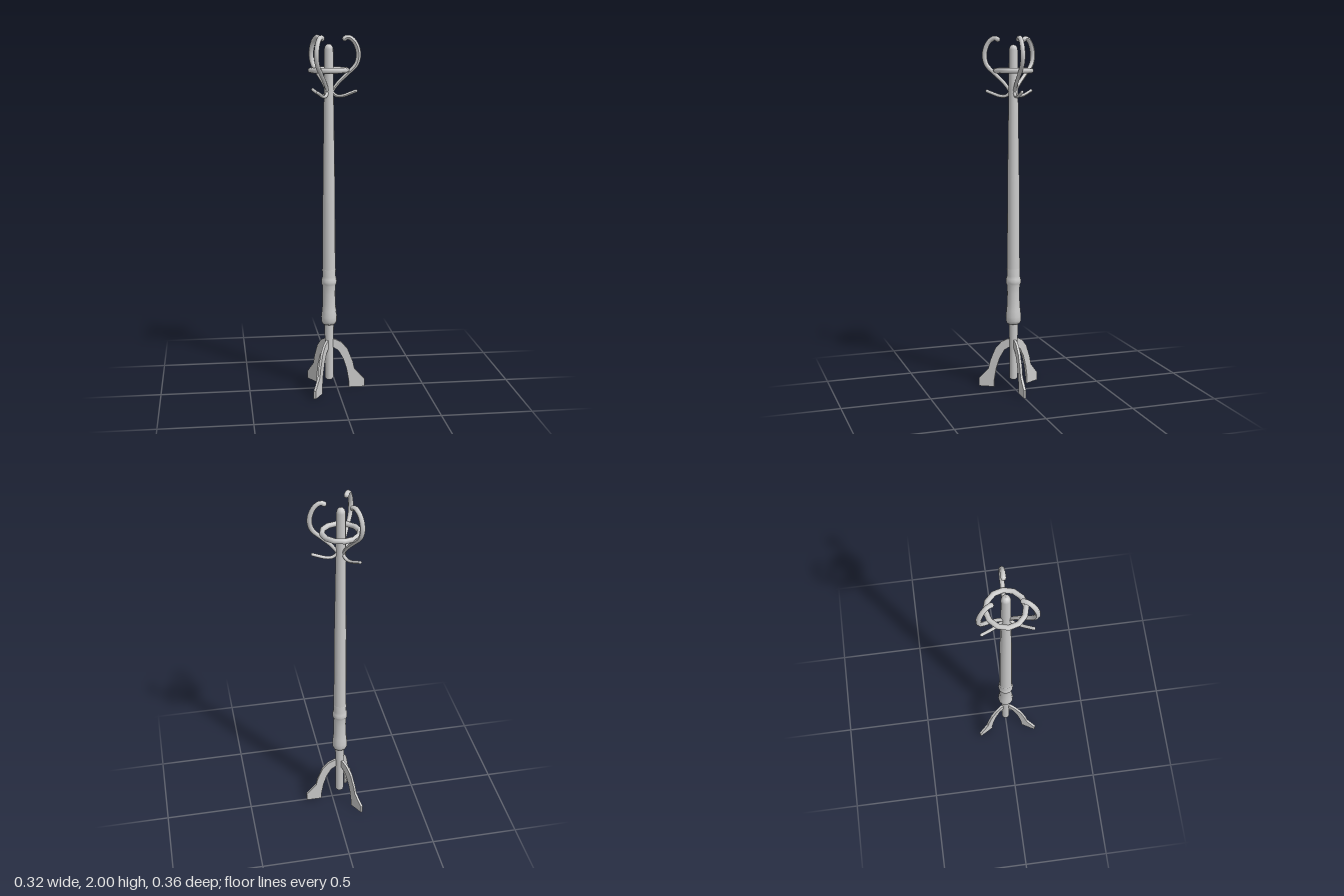
import * as THREE from 'three';

const material = new THREE.MeshStandardMaterial({ color: 0xcccccc, side: THREE.DoubleSide });

function addMesh(parent, name, geometry) {
  const mesh = new THREE.Mesh(geometry, material);
  mesh.name = name;
  parent.add(mesh);
  return mesh;
}

const vectors = (points) => points.map(([x, y]) => new THREE.Vector2(x, y));
const lathe = (points) => new THREE.LatheGeometry(vectors(points), 12);

// Tube in the xy plane through [x, y, radius] points, with rounded ends
function taperedTube(points, segments, sides = 8) {
  const curve = new THREE.CatmullRomCurve3(points.map(([x, y]) => new THREE.Vector3(x, y, 0)));
  const geometry = new THREE.TubeGeometry(curve, segments, 1, sides);
  const pos = geometry.attributes.position;
  const centre = new THREE.Vector3(), v = new THREE.Vector3();
  for (let i = 0; i <= segments; i++) {
    curve.getPointAt(i / segments, centre);
    const t = curve.getUtoTmapping(i / segments) * (points.length - 1);
    const k = Math.min(Math.floor(t), points.length - 2);
    const radius = THREE.MathUtils.lerp(points[k][2], points[k + 1][2], t - k);
    for (let j = 0; j <= sides; j++) {
      const n = i * (sides + 1) + j;
      v.fromBufferAttribute(pos, n).sub(centre).multiplyScalar(radius).add(centre);
      pos.setXYZ(n, v.x, v.y, v.z);
    }
  }
  geometry.computeVertexNormals();
  return geometry;
}

function addEndBall(parent, name, [x, y, radius]) {
  addMesh(parent, name, new THREE.SphereGeometry(radius, 8, 6)).position.set(x, y, 0);
}

export function createModel() {
  const model = new THREE.Group();
  model.name = 'coatStand';
  const stand = new THREE.Group();
  stand.name = 'stand';
  stand.position.x = -0.045;
  model.add(stand);

  // Central pole: lower post, turned section, tapering shaft with domed top
  addMesh(stand, 'lowerPost', lathe([[0, 0.048], [0.016, 0.052], [0.024, 0.062], [0.024, 0.28], [0.028, 0.385]]));
  addMesh(stand, 'turnedSection', lathe([
    [0.026, 0.378], [0.038, 0.384], [0.044, 0.4], [0.045, 0.425], [0.041, 0.46], [0.037, 0.5],
    [0.036, 0.56], [0.037, 0.605], [0.043, 0.617], [0.044, 0.63], [0.042, 0.645], [0.037, 0.66],
    [0.039, 0.7], [0.034, 0.702],
  ]));
  addMesh(stand, 'shaft', lathe([
    [0.037, 0.7], [0.034, 1.2], [0.027, 1.68], [0.025, 1.92], [0.021, 1.936], [0.012, 1.946], [0, 1.949],
  ]));

  // Umbrella-style ring around the top
  const ring = addMesh(stand, 'ring', new THREE.TorusGeometry(0.099, 0.015, 8, 12));
  ring.rotation.x = Math.PI / 2;
  ring.position.y = 1.808;

  // Flat leg outline: outer edge down to the foot, inner edge back up
  const legShape = new THREE.Shape(vectors([
    [0, 0.29], [0.035, 0.288], [0.07, 0.27], [0.106, 0.228], [0.135, 0.155], [0.146, 0.108],
    [0.203, 0.045], [0.203, 0], [0.113, 0], [0.113, 0.035], [0.1, 0.11], [0.08, 0.172],
    [0.052, 0.222], [0.025, 0.24], [0, 0.24],
  ]));
  const legGeometry = new THREE.ExtrudeGeometry(legShape, { depth: 0.014, bevelEnabled: false });
  legGeometry.translate(0, 0, -0.007);

  // Hook paths as [radius from axis, height, thickness]
  const upper = [
    [0.087, 1.977, 0.014], [0.105, 1.985, 0.013], [0.135, 1.967, 0.013], [0.156, 1.93, 0.014],
    [0.163, 1.885, 0.014], [0.15, 1.838, 0.013], [0.1, 1.787, 0.011], [0.05, 1.738, 0.01],
    [0.02, 1.695, 0.009], [0.012, 1.66, 0.009],
  ];
  const lower = [
    [0.01, 1.715, 0.009], [0.023, 1.685, 0.009], [0.044, 1.669, 0.009], [0.08, 1.67, 0.009],
    [0.115, 1.682, 0.009], [0.149, 1.695, 0.009],
  ];
  const upperGeometry = taperedTube(upper, 32);
  const lowerGeometry = taperedTube(lower, 16);

  // Three identical sides, each with a leg and a double hook
  for (let i = 0; i < 3; i++) {
    const side = new THREE.Group();
    side.name = `side${i + 1}`;
    side.rotation.y = (i * Math.PI * 2) / 3;
    stand.add(side);
    addMesh(side, 'leg', legGeometry);
    addMesh(side, 'upperHook', upperGeometry);
    addMesh(side, 'lowerHook', lowerGeometry);
    addEndBall(side, 'upperHookTip', upper[0]);
    addEndBall(side, 'lowerHookTip', lower[lower.length - 1]);
  }
  return model;
}
